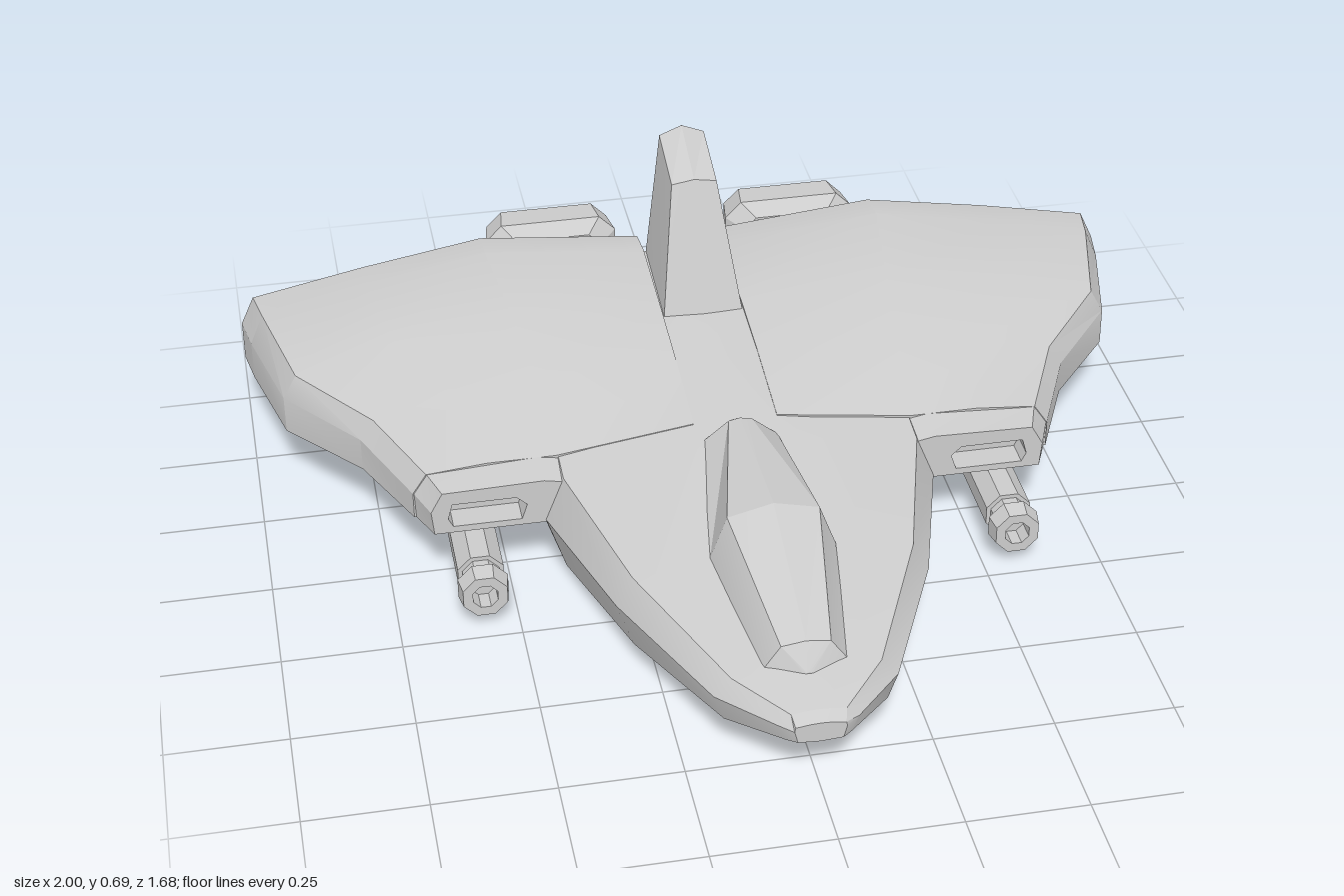
import * as THREE from 'three';
import { toCreasedNormals } from 'three/addons/utils/BufferGeometryUtils.js';

const material = new THREE.MeshStandardMaterial({ color: 0xcccccc });

// Skin a row of equal-length loops (counter-clockwise seen from +z) and cap both ends.
function loft(loops, crease = 0.5) {
  const pos = [];
  const tri = (a, b, c) => {
    const [p, q, r] = [a, b, c].map((v) => new THREE.Vector3(...v));
    if (q.sub(p).cross(r.sub(p)).length() > 1e-8) pos.push(...a, ...b, ...c);
  };
  const n = loops[0].length;
  for (let i = 0; i < loops.length - 1; i++) {
    for (let j = 0; j < n; j++) {
      const k = (j + 1) % n, A = loops[i], B = loops[i + 1];
      tri(A[j], B[j], A[k]);
      tri(A[k], B[j], B[k]);
    }
  }
  const cap = (loop, flip) => {
    const flat = loop.map((p) => new THREE.Vector2(p[0], p[1]));
    if (Math.abs(THREE.ShapeUtils.area(flat)) < 1e-6) return;
    for (const [a, b, c] of THREE.ShapeUtils.triangulateShape(flat, [])) {
      if (flip) tri(loop[a], loop[c], loop[b]);
      else tri(loop[a], loop[b], loop[c]);
    }
  };
  cap(loops[0], false);
  cap(loops[loops.length - 1], true);
  const geo = new THREE.BufferGeometry();
  geo.setAttribute('position', new THREE.Float32BufferAttribute(pos, 3));
  return toCreasedNormals(geo, crease);
}

// Full loop from a right-half outline running bottom centre -> top centre.
const symmetric = (z, half) => [
  ...half.map(([x, y]) => [x, y, z]),
  ...half.slice(1, -1).reverse().map(([x, y]) => [-x, y, z]),
];
const mirrored = (loops) => loops.map((l) => l.map(([x, y, z]) => [-x, y, z]).reverse());

// Rectangle with cut corners.
function cutRect(cx, cy, hw, hh, z) {
  const c = Math.min(hw, hh) * 0.35;
  return [[hw - c, -hh], [hw, c - hh], [hw, hh - c], [hw - c, hh],
    [c - hw, hh], [-hw, hh - c], [-hw, c - hh], [c - hw, -hh]]
    .map(([x, y]) => [cx + x, cy + y, z]);
}

function octagon(cx, cy, r, z) {
  return Array.from({ length: 8 }, (_, i) => {
    const a = ((i + 0.5) * Math.PI) / 4;
    return [cx + r * Math.cos(a), cy + r * Math.sin(a), z];
  });
}

export function createModel() {
  const model = new THREE.Group();
  const add = (name, geo) => {
    const mesh = new THREE.Mesh(geo, material);
    mesh.name = name;
    model.add(mesh);
    return mesh;
  };
  const addPair = (name, loops, crease) => {
    add(name + 'Left', loft(loops, crease));
    add(name + 'Right', loft(mirrored(loops), crease));
  };

  // Fuselage: keel, chine, widest side, shoulder, spine edge, spine
  add('fuselage', loft([
    symmetric(0.84, [[0, 0.11], [0.045, 0.113], [0.052, 0.14], [0.05, 0.15], [0.02, 0.154], [0, 0.155]]),
    symmetric(0.82, [[0, 0.105], [0.065, 0.108], [0.08, 0.145], [0.055, 0.168], [0.025, 0.172], [0, 0.173]]),
    symmetric(0.71, [[0, 0.083], [0.165, 0.088], [0.185, 0.145], [0.15, 0.185], [0.06, 0.195], [0, 0.2]]),
    symmetric(0.4, [[0, 0.045], [0.29, 0.052], [0.325, 0.155], [0.29, 0.22], [0.09, 0.24], [0, 0.245]]),
    symmetric(0.07, [[0, 0.005], [0.38, 0.025], [0.42, 0.15], [0.38, 0.25], [0.09, 0.29], [0, 0.295]]),
    symmetric(-0.2, [[0, 0], [0.41, 0.02], [0.45, 0.15], [0.38, 0.28], [0.09, 0.333], [0, 0.33]]),
    symmetric(-0.61, [[0, 0], [0.41, 0.02], [0.45, 0.15], [0.38, 0.3], [0.09, 0.372], [0, 0.37]]),
  ], 0.4));

  // Wings: tip side, tip edge, mid, hump, root
  const wingSections = [
    [0, [0.69, 0.205], [0.66, 0.25], [0.53, 0.262], [0.385, 0.262], [0.09, 0.303]],
    [-0.2, [0.78, 0.22], [0.75, 0.267], [0.58, 0.31], [0.4, 0.335], [0.09, 0.335]],
    [-0.38, [0.93, 0.23], [0.9, 0.285], [0.68, 0.345], [0.42, 0.375], [0.09, 0.355]],
    [-0.61, [0.985, 0.235], [0.955, 0.305], [0.72, 0.36], [0.45, 0.41], [0.09, 0.375]],
    [-0.7, [1, 0.235], [0.97, 0.3], [0.72, 0.35], [0.45, 0.395], [0.09, 0.36]],
  ];
  addPair('wing', wingSections.map(([z, ...top]) =>
    [[0.09, 0.145], [top[0][0], 0.145], ...top].map(([x, y]) => [x, y, z])), 0.4);

  // Air intakes with a recessed mouth
  const at = (z, pts) => pts.map(([x, y]) => [x, y, z]);
  const mouth = [[0.47, 0.16], [0.615, 0.16], [0.625, 0.18], [0.615, 0.215], [0.48, 0.215], [0.458, 0.195]];
  addPair('airIntake', [
    at(0.01, mouth),
    at(0.07, mouth),
    at(0.07, [[0.41, 0.145], [0.655, 0.145], [0.66, 0.2], [0.635, 0.245], [0.42, 0.25], [0.37, 0.24]]),
    at(-0.01, [[0.41, 0.145], [0.69, 0.145], [0.692, 0.205], [0.662, 0.25], [0.42, 0.264], [0.37, 0.255]]),
  ], 0.3);

  // Cockpit canopy: base edge, upper edge, ridge
  const canopy = (z, base, upper, ridge) => symmetric(z, [[0, base[1] - 0.05], base, upper, [0, ridge]]);
  add('canopy', loft([
    canopy(0.735, [0.01, 0.19], [0.005, 0.195], 0.197),
    canopy(0.7, [0.085, 0.19], [0.05, 0.24], 0.247),
    canopy(0.39, [0.13, 0.24], [0.095, 0.335], 0.358),
    canopy(0.05, [0.08, 0.29], [0.025, 0.335], 0.34),
    canopy(0, [0.01, 0.3], [0.005, 0.303], 0.305),
  ], 0.3));

  // Tail fin
  add('tailFin', loft([
    [[-0.09, 0.33, -0.355], [0.09, 0.33, -0.355], [0.05, 0.622, -0.46], [0, 0.63, -0.46], [-0.05, 0.622, -0.46]],
    [[-0.09, 0.33, -0.61], [0.09, 0.33, -0.61], [0.05, 0.665, -0.61], [0, 0.685, -0.61], [-0.05, 0.665, -0.61]],
  ], 0.2));

  // Engine nozzles: neck, flared collar, recessed exhaust
  addPair('engineNozzle', [
    [0.105, 0.075, -0.68], [0.105, 0.075, -0.735], [0.112, 0.08, -0.735], [0.15, 0.105, -0.77],
    [0.14, 0.1, -0.842], [0.09, 0.057, -0.842], [0.08, 0.05, -0.76],
  ].map(([hw, hh, z]) => cutRect(0.28, 0.275, hw, hh, z)), 0.3);

  // Underwing guns: hollow muzzle, neck, barrel housing
  addPair('gun', [
    [0.028, 0.17], [0.028, 0.215], [0.05, 0.215], [0.057, 0.175], [0.042, 0.17],
    [0.042, 0.14], [0.052, 0.14], [0.052, -0.38],
  ].map(([r, z]) => octagon(0.57, 0.077, r, z)), 0.3);
  for (const [side, s] of [['Left', 1], ['Right', -1]]) {
    add('gunPylon' + side, new THREE.BoxGeometry(0.07, 0.05, 0.21)).position.set(s * 0.57, 0.13, -0.145);
  }

  return model;
}
